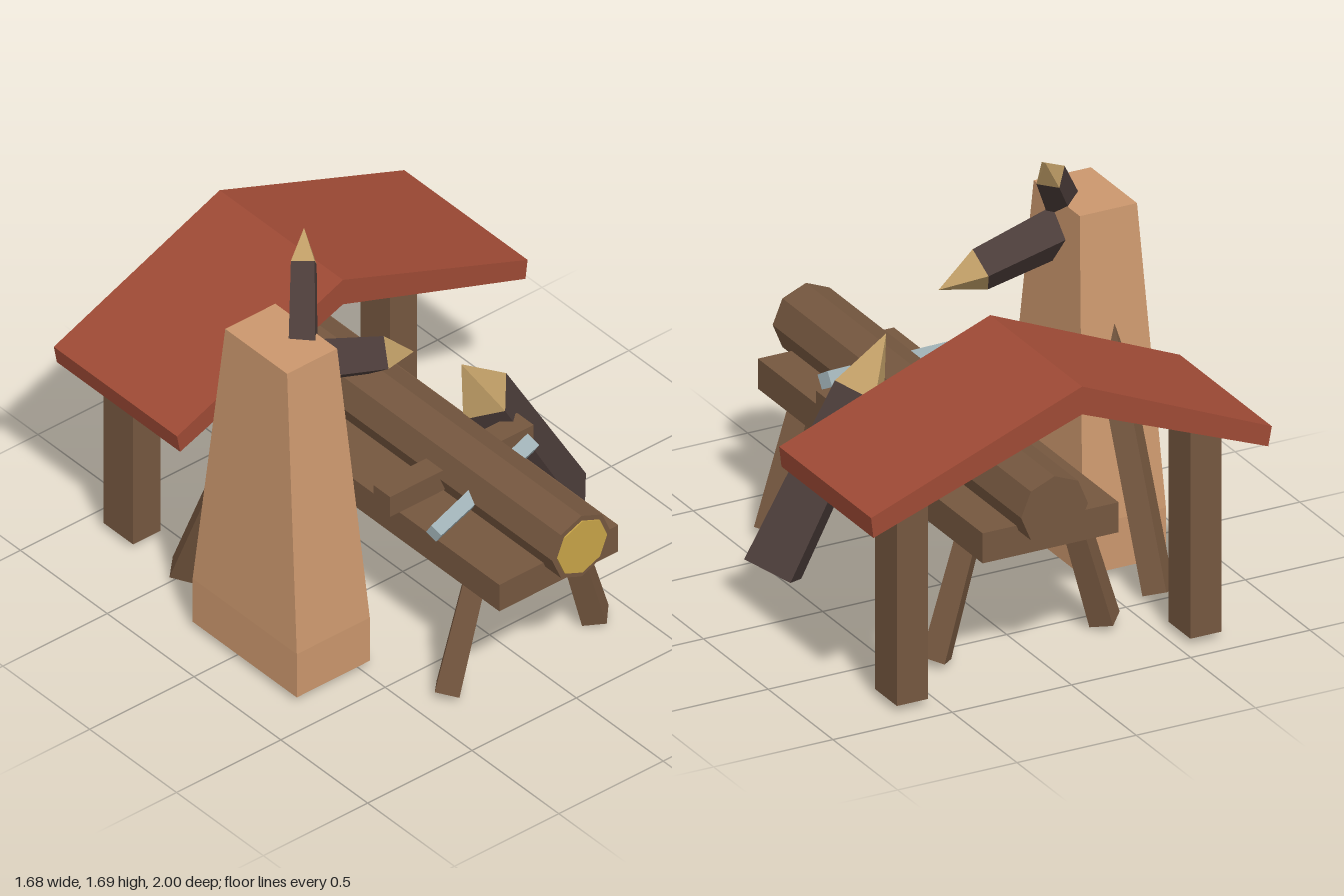
import * as THREE from 'three';

const paint = (name, color) => {
  const m = new THREE.MeshStandardMaterial({ color });
  m.name = name;
  return m;
};

export function createModel() {
  const model = new THREE.Group();
  model.name = 'sawmillYard';

  const wood = paint('brown wood', 0x75573f);
  const sandstone = paint('tan block', 0xcb976d);
  const tile = paint('red roof', 0x9e4a35);
  const bark = paint('dark bark', 0x4b3c39);
  const cutWood = paint('pale cut wood', 0xbf9d66);
  const endGrain = paint('golden end grain', 0xc8a448);
  const metal = paint('grey metal', 0x9fb0b5);

  const V = (x, y, z) => new THREE.Vector3(x, y, z);

  // Flat-faced mesh
  function add(name, geometry, material, parent = model) {
    const flat = geometry.index ? geometry.toNonIndexed() : geometry;
    flat.computeVertexNormals();
    const mesh = new THREE.Mesh(flat, material);
    mesh.name = name;
    parent.add(mesh);
    return mesh;
  }

  // Box given by its extents
  function box(name, [x0, x1], [y0, y1], [z0, z1], material) {
    const mesh = add(name, new THREE.BoxGeometry(x1 - x0, y1 - y0, z1 - z0), material);
    mesh.position.set((x0 + x1) / 2, (y0 + y1) / 2, (z0 + z1) / 2);
    return mesh;
  }

  // Tapered prism running from point a to point b
  function beam(name, a, b, rA, rB, material, sides = 4, parent = model) {
    const dir = b.clone().sub(a);
    const mesh = add(name, new THREE.CylinderGeometry(rB, rA, dir.length(), sides), material, parent);
    mesh.position.copy(a).add(b).multiplyScalar(0.5);
    mesh.quaternion.setFromUnitVectors(V(0, 1, 0), dir.normalize());
    return mesh;
  }

  // Sharpened stake: dark shaft and pale pointed tip
  function stake(name, a, b, rA, rB, tipLength) {
    const group = new THREE.Group();
    group.name = name;
    model.add(group);
    const tip = b.clone().add(b.clone().sub(a).normalize().multiplyScalar(tipLength));
    beam('shaft', a, b, rA, rB, bark, 4, group);
    beam('tip', b, tip, rB, 0, cutWood, 4, group);
  }

  // Tower: upright foot, then a straight taper to the top
  const tower = new THREE.BoxGeometry(0.35, 1.4, 0.6, 1, 2, 1);
  const p = tower.attributes.position;
  for (let i = 0; i < p.count; i++) {
    if (p.getY(i) > 0.1) {
      p.setX(i, Math.sign(p.getX(i)) * 0.12);
      p.setZ(i, Math.sign(p.getZ(i)) * 0.178);
    } else if (p.getY(i) > -0.1) p.setY(i, -0.5);
  }
  add('tower', tower, sandstone).position.set(-0.637, 0.73, 0.066);
  beam('towerStrut', V(-0.638, 0.03, -0.496), V(-0.638, 1.05, -0.06), 0.067, 0.064, wood);

  // Stakes: two driven through the tower, one leaning on the log
  stake('upperTowerStake', V(-0.62, 1.3, 0.17), V(-0.42, 1.6, -0.065), 0.073, 0.062, 0.13);
  stake('lowerTowerStake', V(-0.62, 1.315, 0.075), V(-0.225, 1.185, 0.118), 0.105, 0.087, 0.175);
  stake('leaningStake', V(0.617, 0.133, 0.17), V(0.256, 0.787, 0.165), 0.137, 0.118, 0.23);

  // Gabled roof on two posts
  const gable = new THREE.Shape([
    [-0.825, 0.79], [-0.045, 1.093], [0.83, 0.785],
    [0.84, 0.868], [-0.045, 1.206], [-0.84, 0.868],
  ].map(([x, y]) => new THREE.Vector2(x, y)));
  add('roof', new THREE.ExtrudeGeometry(gable, { depth: 0.71, bevelEnabled: false }), tile)
    .position.z = -1;
  for (const s of [-1, 1]) {
    box('roofPost', [s * 0.615 - 0.065, s * 0.615 + 0.065], [0.03, 0.89], [-0.905, -0.735], wood);
  }

  // Bench with splayed legs and a cross bar
  box('benchPlank', [-0.29, 0.28], [0.49, 0.612], [-0.83, 0.905], wood);
  for (const s of [-1, 1]) {
    for (const z of [0.685, -0.605]) {
      beam('benchLeg', V(s * 0.353, 0.03, z), V(s * 0.202, 0.55, z), 0.066, 0.056, wood);
    }
  }
  box('crossBar', [-0.35, 0.338], [0.63, 0.722], [0.252, 0.348], wood);

  // Log with its cut end, and a metal bar through it
  beam('log', V(0.03, 0.688, -0.925), V(0.03, 0.688, 0.994), 0.14, 0.14, wood, 8);
  beam('logCutEnd', V(0.03, 0.688, 0.992), V(0.03, 0.688, 1), 0.118, 0.118, endGrain, 8);
  beam('metalBar', V(-0.315, 0.658, 0.557), V(0.263, 0.717, 0.42), 0.037, 0.043, metal);

  return model;
}
